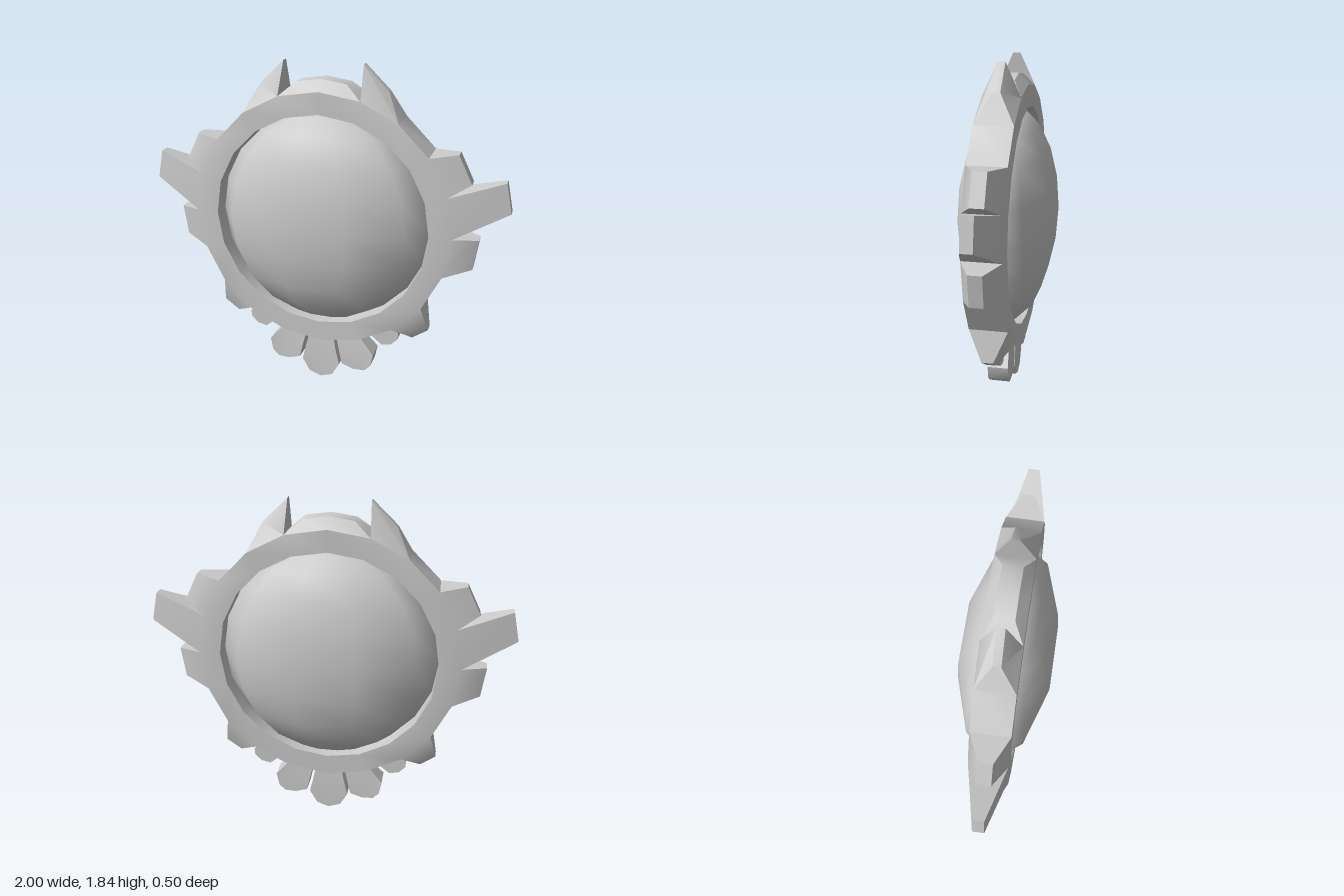
import * as THREE from 'three';
import { toCreasedNormals } from 'three/addons/utils/BufferGeometryUtils.js';

const CY = 0.985, INNER = 0.6, OUTER = 0.717, HALF = 0.1;
const material = new THREE.MeshStandardMaterial({ color: 0xcccccc });

// Point on the 20-sided ring, counted counter-clockwise from the bottom
const ringPoint = (i, r) => {
  const t = (i * Math.PI) / 10;
  return [r * Math.sin(t), CY - r * Math.cos(t)];
};

// Collects quads on the +x half and their mirror images
function quadCollector() {
  const pos = [];
  const tri = (a, b, c) => pos.push(...a, ...b, ...c);
  const flip = ([x, y, z]) => [-x, y, z];
  return {
    quad(a, b, c, d) {
      tri(a, b, c);
      tri(a, c, d);
      const [e, f, g, h] = [d, c, b, a].map(flip);
      tri(e, f, g);
      tri(e, g, h);
    },
    build(crease) {
      const geo = new THREE.BufferGeometry();
      geo.setAttribute('position', new THREE.Float32BufferAttribute(pos, 3));
      return toCreasedNormals(geo, crease);
    },
  };
}

// Block from base edge a-b (half depth z0) out to edge c-d (half depth z1)
function block(out, [a, b, c, d], z0, z1, sides, cap) {
  const at = (p, z) => [p[0], p[1], z];
  out.quad(at(a, z0), at(c, z1), at(d, z1), at(b, z0));
  out.quad(at(b, -z0), at(d, -z1), at(c, -z1), at(a, -z0));
  if (cap) out.quad(at(c, -z1), at(d, -z1), at(d, z1), at(c, z1));
  if (sides) {
    out.quad(at(a, -z0), at(c, -z1), at(c, z1), at(a, z0));
    out.quad(at(b, z0), at(d, z1), at(d, -z1), at(b, -z0));
  }
}

// Ray tips by ring segment: first corner, second corner, half depth
const rays = {
  2: [[0.53, 0.34], [0.615, 0.4], 0.03],
  4: [[0.83, 0.805], [0.853, 0.975], 0.035],
  5: [[1.0, 1.135], [0.965, 1.295], 0.03],
  6: [[0.795, 1.27], [0.72, 1.42], 0.035],
  8: [[0.35, 1.71], [0.215, 1.84], 0.02],
  9: [[0.135, 1.74], [0, 1.76], 0.05],
};

function rayedRing() {
  const out = quadCollector();
  for (let i = 0; i < 10; i++) {
    const a = ringPoint(i, INNER), b = ringPoint(i + 1, INNER);
    const c = ringPoint(i, OUTER), d = ringPoint(i + 1, OUTER);
    block(out, [a, b, c, d], HALF, HALF, false, !rays[i]);
    out.quad([...a, HALF], [...b, HALF], [...b, -HALF], [...a, -HALF]);
    if (rays[i]) {
      const [p, q, z] = rays[i];
      block(out, [c, d, p, q], HALF, z, true, true);
    }
  }
  return out.build(0.65);
}

// Flat petal, thinner towards its root at the ring
function petal(points, z0, z1, rootY) {
  const shape = new THREE.Shape(points.map(([x, y]) => new THREE.Vector2(x, y)));
  const geo = new THREE.ExtrudeGeometry(shape, { depth: z1 - z0, bevelEnabled: false });
  geo.translate(0, 0, z0);
  const pos = geo.attributes.position;
  for (let i = 0; i < pos.count; i++) {
    if (pos.getY(i) > rootY) pos.setZ(i, pos.getZ(i) * 0.65);
  }
  return toCreasedNormals(geo, 0.6);
}

export function createModel() {
  const model = new THREE.Group();
  const add = (name, geo) => {
    const mesh = new THREE.Mesh(geo, material);
    mesh.name = name;
    model.add(mesh);
    return mesh;
  };

  // Domed centre
  const dome = add('dome', new THREE.SphereGeometry(INNER, 10, 10));
  dome.scale.z = 0.263 / INNER;
  dome.position.y = CY;

  // Ring with tapered rays
  add('rayedRing', rayedRing());

  // Hanging petals
  add('centrePetal', petal([[0, 0], [0.07, 0.025], [0.112, 0.1], [0.09, 0.2], [0.06, 0.33],
    [-0.06, 0.33], [-0.09, 0.2], [-0.112, 0.1], [-0.07, 0.025]], -0.05, 0.065, 0.25));
  const middle = [[0.13, 0.11], [0.2, 0.087], [0.265, 0.09], [0.3, 0.125], [0.315, 0.2],
    [0.2, 0.33], [0.08, 0.33], [0.11, 0.2]];
  const outer = [[0.27, 0.33], [0.355, 0.26], [0.41, 0.272], [0.447, 0.31], [0.45, 0.345],
    [0.4, 0.41], [0.32, 0.41]];
  for (const [side, s] of [['left', 1], ['right', -1]]) {
    const mirror = (pts) => pts.map(([x, y]) => [s * x, y]);
    add(side + 'MiddlePetal', petal(mirror(middle), -0.05, 0.065, 0.25));
    add(side + 'OuterPetal', petal(mirror(outer), -0.03, 0.03, 1));
  }
  return model;
}
